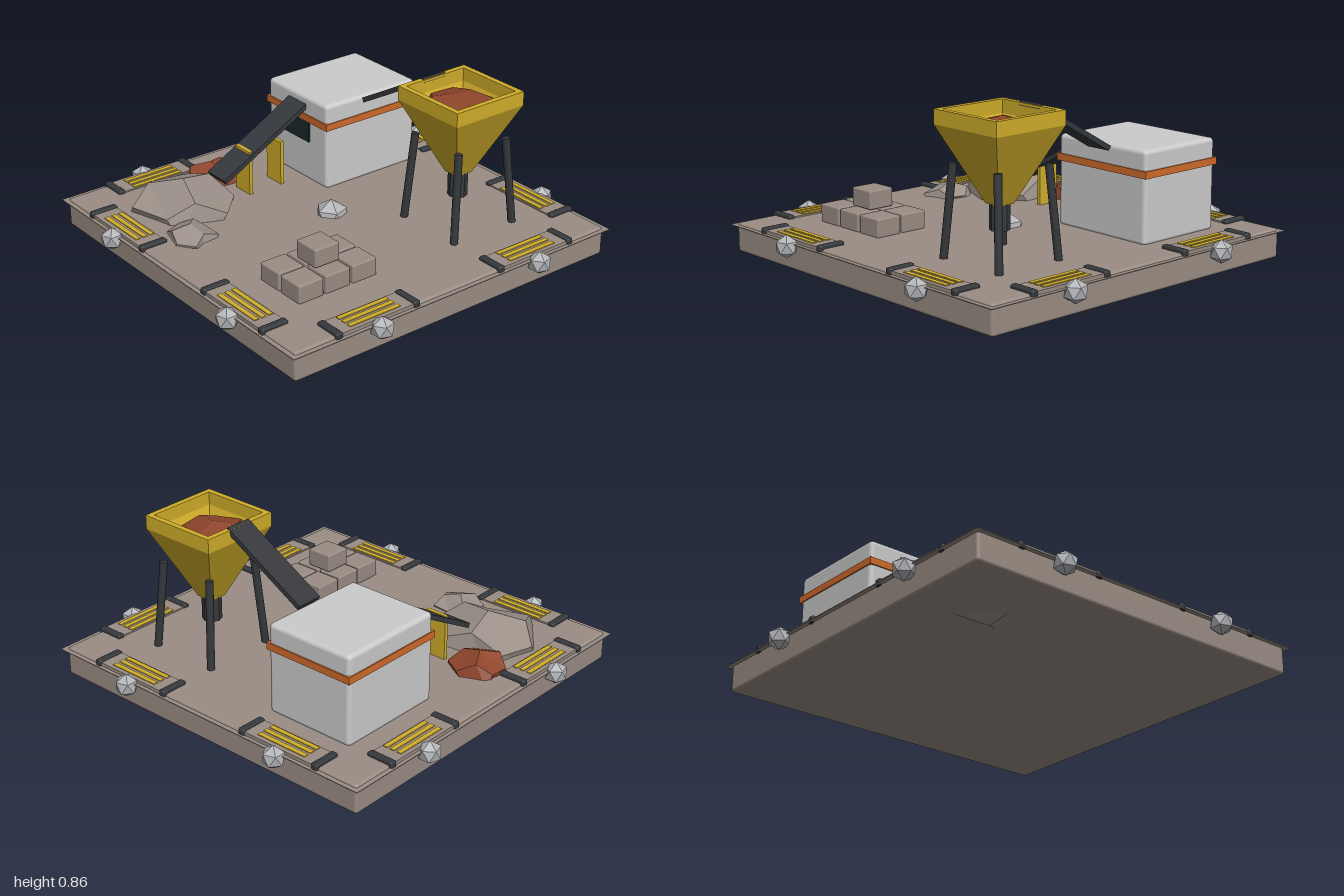
import * as THREE from 'three';
import { RoundedBoxGeometry } from 'three/addons/geometries/RoundedBoxGeometry.js';

const mat = (color, flatShading = false) =>
  new THREE.MeshStandardMaterial({ color, flatShading, side: THREE.DoubleSide });

export function createModel() {
  const root = new THREE.Group();
  const stone = mat(0x9a8d84), dark = mat(0x35383c), yellow = mat(0xd0ad2a), orange = mat(0xcf6a2a);
  const shell = mat(0xcccccc), port = mat(0x1b2a2e), hopperYellow = mat(0xd0ad2a, true);
  const greyRock = mat(0x9a9088, true), redRock = mat(0x8f452c, true), metal = mat(0xb4b6ba, true);

  const add = (name, geo, material, parent = root) => {
    const m = new THREE.Mesh(geo, material);
    m.name = name;
    parent.add(m);
    return m;
  };
  // Box given by its lower and upper corners, optionally rounded
  const box = (name, a, b, material, r = 0, parent = root) => {
    const s = a.map((v, i) => b[i] - v);
    const geo = r ? new RoundedBoxGeometry(...s, 2, r) : new THREE.BoxGeometry(...s);
    const m = add(name, geo, material, parent);
    m.position.set(...a.map((v, i) => (v + b[i]) / 2));
    return m;
  };
  // Bar running from point a to point b
  const bar = (name, a, b, geoFor, material) => {
    const p = new THREE.Vector3(...a), q = new THREE.Vector3(...b);
    const m = add(name, geoFor(p.distanceTo(q)), material);
    m.position.copy(p).add(q).multiplyScalar(0.5);
    m.quaternion.setFromUnitVectors(new THREE.Vector3(0, 1, 0), q.sub(p).normalize());
    return m;
  };
  // Icosahedron standing on one vertex
  const gem = (name, r, x, y, z, parent = root) => {
    const geo = new THREE.IcosahedronGeometry(r, 0);
    geo.rotateZ(Math.atan(2 / (1 + Math.sqrt(5))));
    add(name, geo, metal, parent).position.set(x, y, z);
  };
  // Irregular boulder fitted between two corners
  const rock = (name, a, b, turn, seed, material) => {
    const geo = new THREE.DodecahedronGeometry(1, 0);
    geo.applyQuaternion(new THREE.Quaternion().setFromUnitVectors(
      new THREE.Vector3(1, 1, 1).normalize(), new THREE.Vector3(0, 1, 0)));
    geo.rotateY(turn);
    const p = geo.attributes.position, v = new THREE.Vector3();
    for (let i = 0; i < p.count; i++) {
      v.fromBufferAttribute(p, i);
      const k = Math.sin(Math.round(v.x * 50) * 12.9 + Math.round(v.y * 50) * 78.2
        + Math.round(v.z * 50) * 37.7 + seed);
      const pole = Math.abs(v.y) > 0.95;
      v.multiplyScalar(pole ? 1.05 : 1 + 0.09 * k);
      p.setXYZ(i, v.x, v.y, v.z);
    }
    geo.center();
    const size = geo.boundingBox.getSize(new THREE.Vector3()).toArray();
    geo.scale(...size.map((s, i) => (b[i] - a[i]) / s));
    geo.computeVertexNormals();
    add(name, geo, material).position.set(...a.map((c, i) => (c + b[i]) / 2));
  };

  // Ground slab with a thin overhanging lip
  box('groundSlab', [-0.92, 0.03, -0.92], [0.92, 0.175, 0.92], stone, 0.015);
  box('slabLip', [-0.942, 0.16, -0.942], [0.942, 0.164, 0.942], stone);

  // Two connector pads on each of the four edges
  for (let side = 0; side < 4; side++) {
    const edge = new THREE.Group();
    edge.name = 'edgeConnectors';
    edge.rotation.y = side * Math.PI / 2;
    root.add(edge);
    for (const x of [-0.47, 0.47]) {
      box('connectorPad', [x - 0.21, 0.165, 0.795], [x + 0.21, 0.182, 0.925], stone, 0, edge);
      for (const d of [-0.217, 0.217])
        box('connectorBar', [x + d - 0.018, 0.155, 0.79], [x + d + 0.018, 0.192, 0.932], dark, 0.01, edge);
      for (const z of [0.815, 0.853, 0.892])
        box('padStripe', [x - 0.14, 0.18, z - 0.012], [x + 0.14, 0.186, z + 0.012], yellow, 0, edge);
      gem('connectorKnob', 0.058, x, 0.148, 0.95, edge);
    }
  }
  gem('centreMarker', 0.085, 0, 0.16, 0);

  // Processing house with band and outlet
  box('house', [0.14, 0.165, -0.69], [0.705, 0.617, -0.215], shell, 0.022);
  box('houseBand', [0.133, 0.487, -0.696], [0.712, 0.522, -0.209], orange);
  box('outletPort', [0.131, 0.38, -0.55], [0.15, 0.48, -0.35], port);

  // Discharge and feed conveyors
  bar('dischargeConveyor', [-0.355, 0.292, -0.45], [0.16, 0.572, -0.45],
    (l) => new THREE.BoxGeometry(0.025, l, 0.14), dark);
  bar('feedConveyor', [0.423, 0.6, -0.2], [0.423, 0.853, 0.245],
    (l) => new THREE.BoxGeometry(0.135, l, 0.025), dark);
  for (const x of [-0.19, 0])
    box('conveyorSupport', [x - 0.01, 0.17, -0.51], [x + 0.01, 0.405, -0.395], yellow);

  // Square hopper: outer wall, rim, inner wall
  const profile = [[0.045, 0.43], [0.206, 0.785], [0.206, 0.855], [0.178, 0.855], [0.178, 0.79], [0.04, 0.48]]
    .map(([r, y]) => new THREE.Vector2(r * Math.SQRT2, y));
  const hopperGeo = new THREE.LatheGeometry(profile, 4, Math.PI / 4).toNonIndexed();
  hopperGeo.computeVertexNormals();
  add('hopper', hopperGeo, hopperYellow).position.set(0.425, 0, 0.428);
  add('hopperSpout', new THREE.CylinderGeometry(0.048, 0.048, 0.16, 8), mat(0x35383c, true))
    .position.set(0.425, 0.39, 0.428);
  rock('hopperOre', [0.25, 0.69, 0.25], [0.6, 0.825, 0.575], 0.4, 2, redRock);
  for (const sx of [-1, 1]) for (const sz of [-1, 1])
    bar('hopperLeg', [0.433 + sx * 0.185, 0.165, 0.428 + sz * 0.18], [0.433 + sx * 0.148, 0.615, 0.428 + sz * 0.152],
      (l) => new THREE.CylinderGeometry(0.019, 0.019, l, 8), dark);

  // Stack of cut blocks
  const block = (x, y, z) =>
    box('stoneBlock', [x - 0.069, y, z - 0.069], [x + 0.069, y + 0.092, z + 0.069], stone, 0.008);
  for (const x of [-0.592, -0.442, -0.29]) for (const z of [0.39, 0.54]) block(x, 0.172, z);
  block(-0.442, 0.268, 0.463);

  // Boulders by the discharge end
  rock('largeBoulder', [-0.765, 0, -0.775], [-0.27, 0.312, -0.25], 0.3, 1, greyRock);
  rock('smallBoulder', [-0.79, 0.08, -0.345], [-0.555, 0.24, -0.09], 0.9, 4, greyRock);
  rock('oreBoulder', [-0.38, 0.07, -0.8], [-0.095, 0.265, -0.535], 0.6, 7, redRock);

  return root;
}
